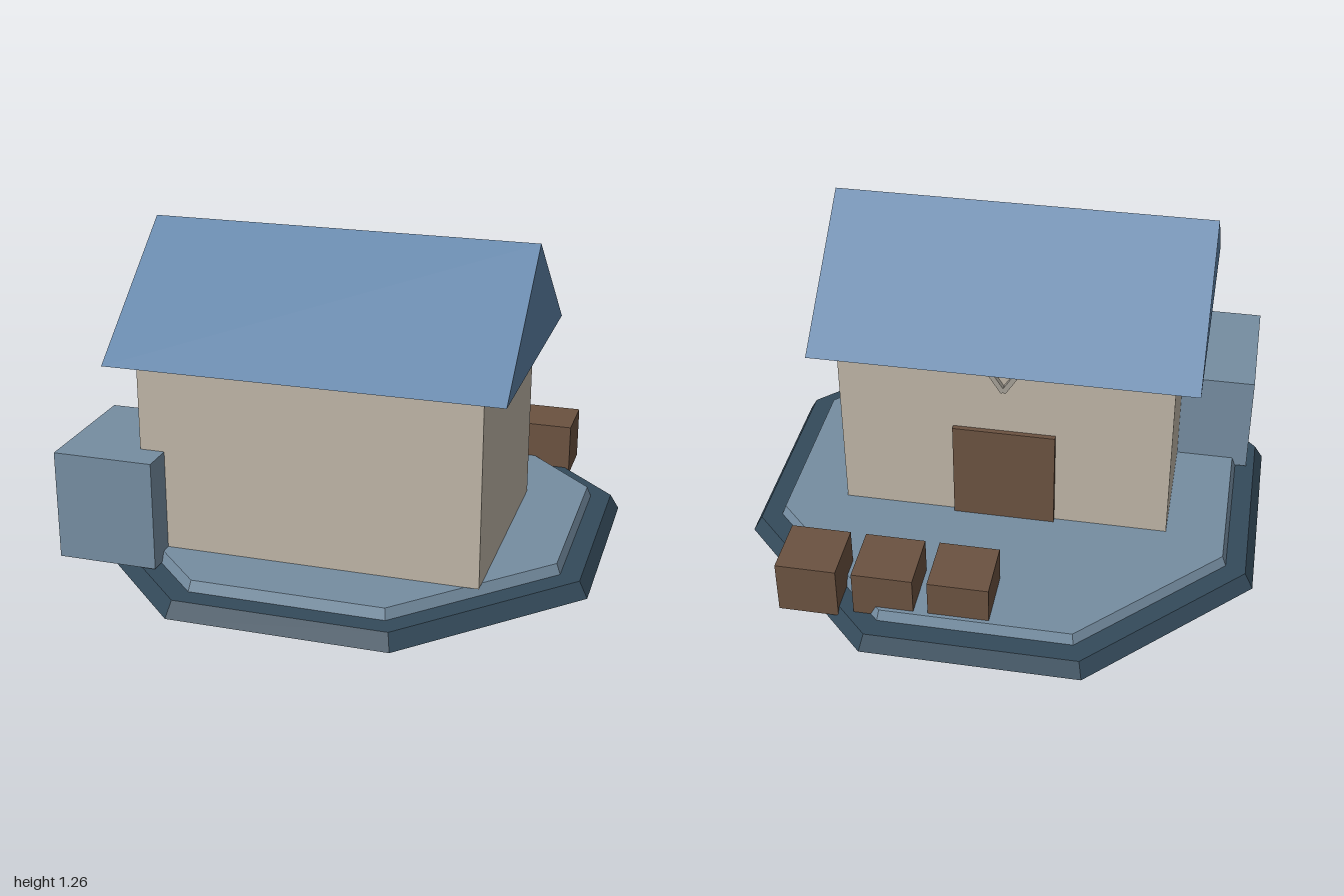
import * as THREE from 'three';

const material = (name, color) => {
  const m = new THREE.MeshStandardMaterial({ color });
  m.name = name;
  return m;
};

export function createModel() {
  const group = new THREE.Group();
  const darkSlate = material('dark slate', 0x344a5a);
  const paleSlate = material('pale slate', 0x758da1);
  const wallBeige = material('wall beige', 0xbeb5a6);
  const roofBlue = material('roof blue', 0x5c80a5);
  const wood = material('wood brown', 0x6b5240);
  const grey = material('ornament grey', 0xa5a096);

  const add = (name, geometry, mat) => {
    const mesh = new THREE.Mesh(geometry, mat);
    mesh.name = name;
    group.add(mesh);
    return mesh;
  };

  // Box given by its limits on each axis
  const box = (name, mat, [x0, x1], [y0, y1], [z0, z1]) => {
    const g = new THREE.BoxGeometry(x1 - x0, y1 - y0, z1 - z0);
    g.translate((x0 + x1) / 2, (y0 + y1) / 2, (z0 + z1) / 2);
    return add(name, g, mat);
  };

  // Flat-sided octagonal slab, sized by the distance from centre to flat side
  const octagon = (name, mat, bottom, top, y0, y1) => {
    const k = 1 / Math.cos(Math.PI / 8);
    const g = new THREE.CylinderGeometry(top * k, bottom * k, y1 - y0, 8)
      .rotateY(Math.PI / 8)
      .translate(0, (y0 + y1) / 2, 0)
      .toNonIndexed();
    g.computeVertexNormals();
    return add(name, g, mat);
  };

  // Two-step plinth
  octagon('base', darkSlate, 1, 0.967, 0, 0.06);
  octagon('terrace', paleSlate, 0.89, 0.875, 0.06, 0.1);

  // House body
  box('walls', wallBeige, [-0.645, 0.645], [0.1, 0.83], [-0.255, 0.645]);

  // Gable roof: a triangle extruded along x
  const gable = new THREE.Shape([
    new THREE.Vector2(-0.54, 0.83),
    new THREE.Vector2(0.54, 0.83),
    new THREE.Vector2(0, 1.26),
  ]);
  const roof = new THREE.ExtrudeGeometry(gable, { depth: 1.48, bevelEnabled: false });
  roof.translate(0, 0, -0.74).rotateY(Math.PI / 2).translate(0, 0, 0.195);
  add('roof', roof, roofBlue);

  // Annex at the front corner
  box('annex', paleSlate, [-0.935, -0.55], [0.065, 0.485], [0.255, 0.77]);

  // Back door
  box('door', wood, [-0.2, 0.2], [0.1, 0.515], [-0.275, -0.25]);

  // V-shaped ornament above the door, running up into the roof
  for (const side of [-1, 1]) {
    const arm = new THREE.BoxGeometry(0.02, 0.17, 0.02);
    arm.translate(0, 0.085, 0).rotateZ(-side * 0.56);
    arm.translate(0, 0.71, -0.265);
    add('ornamentArm', arm, grey);
  }

  // Row of crates behind the house
  for (const x of [0.065, 0.35, 0.64]) {
    box('crate', wood, [x - 0.115, x + 0.115], [0.03, 0.245], [-0.86, -0.63]);
  }

  return group;
}
